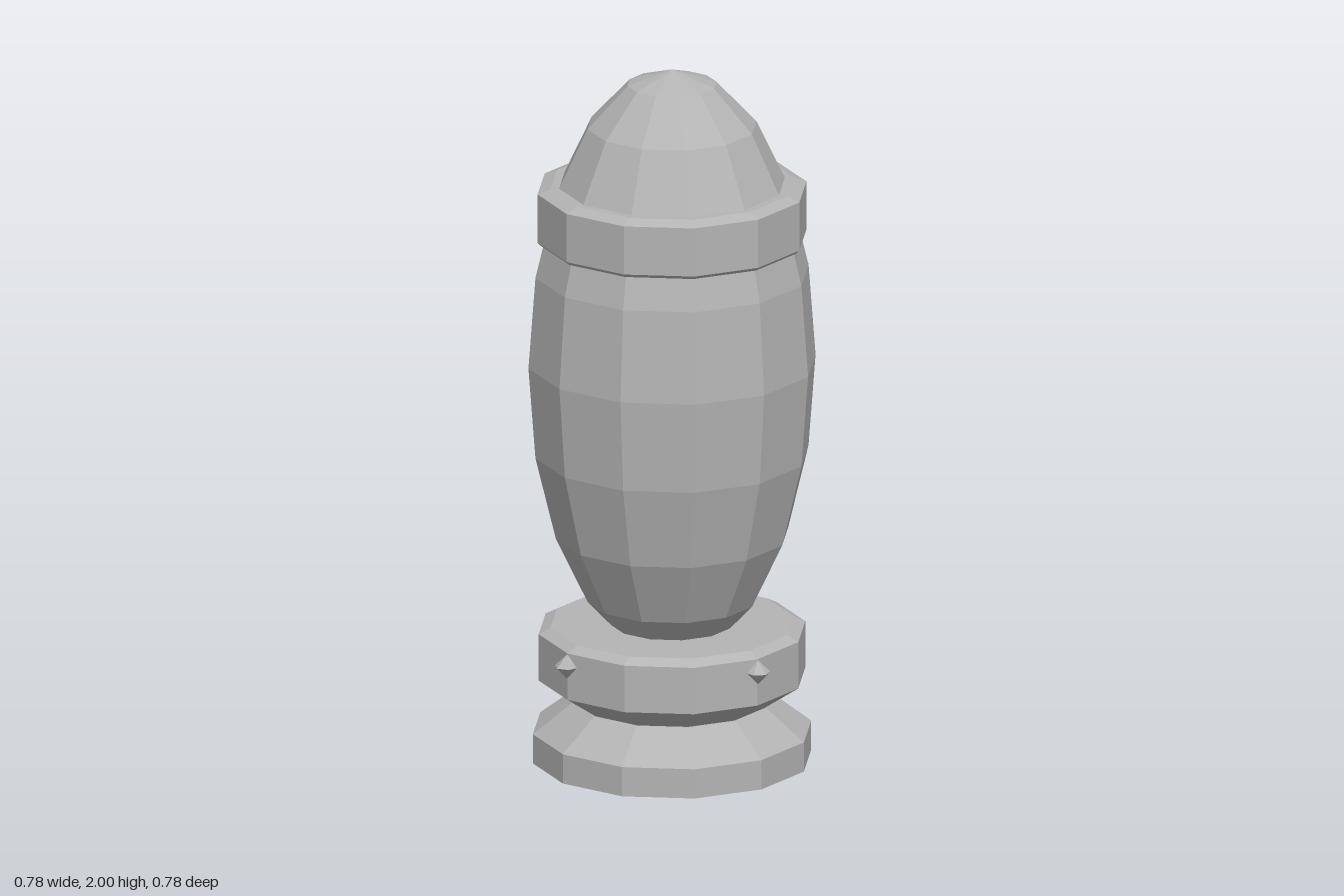
import * as THREE from 'three';

const SIDES = 12;
const TURN = Math.PI / SIDES;          // puts a flat facet on each axis
const toCorner = 1 / Math.cos(TURN);   // facet distance -> corner radius

export function createModel() {
  const model = new THREE.Group();
  model.name = 'bollard';
  const stone = new THREE.MeshStandardMaterial({ color: 0xb4b4b4, flatShading: true });
  stone.name = 'grey stone';

  const add = (name, geometry) => {
    const mesh = new THREE.Mesh(geometry, stone);
    mesh.name = name;
    model.add(mesh);
    return mesh;
  };

  // Twelve-sided turned part; profile is [facet distance, height], bottom to top
  const turned = (name, profile) => {
    const points = profile.map(([r, y]) => new THREE.Vector2(r * toCorner, y));
    return add(name, new THREE.LatheGeometry(points, SIDES).rotateY(TURN));
  };

  // Foot with a sloped shoulder
  turned('foot', [[0, 0], [0.378, 0], [0.378, 0.085], [0.27, 0.172], [0, 0.172]]);

  // Flared collar with a chamfered top
  turned('collar', [[0, 0.172], [0.265, 0.172], [0.362, 0.24], [0.362, 0.375], [0.33, 0.392], [0, 0.392]]);

  // Tall faceted egg, its lower tip sunk in the collar
  const body = new THREE.SphereGeometry(1, SIDES, 10).rotateY(TURN);
  body.scale(0.39 * toCorner, 0.85, 0.39 * toCorner);
  add('body', body).position.y = 1.15;

  // Band around the shoulder of the body
  turned('upperBand', [[0.3, 1.505], [0.356, 1.505], [0.365, 1.515], [0.365, 1.655], [0.33, 1.669], [0.29, 1.669]]);

  // Pointed studs on the four diagonal corners of the collar
  for (let i = 0; i < 4; i++) {
    const angle = Math.PI / 4 + (i * Math.PI) / 2;
    const stud = add('stud', new THREE.SphereGeometry(0.035, 6, 2));
    stud.position.set(Math.cos(angle) * 0.377, 0.338, Math.sin(angle) * 0.377);
    stud.rotation.y = -angle;
  }

  return model;
}
